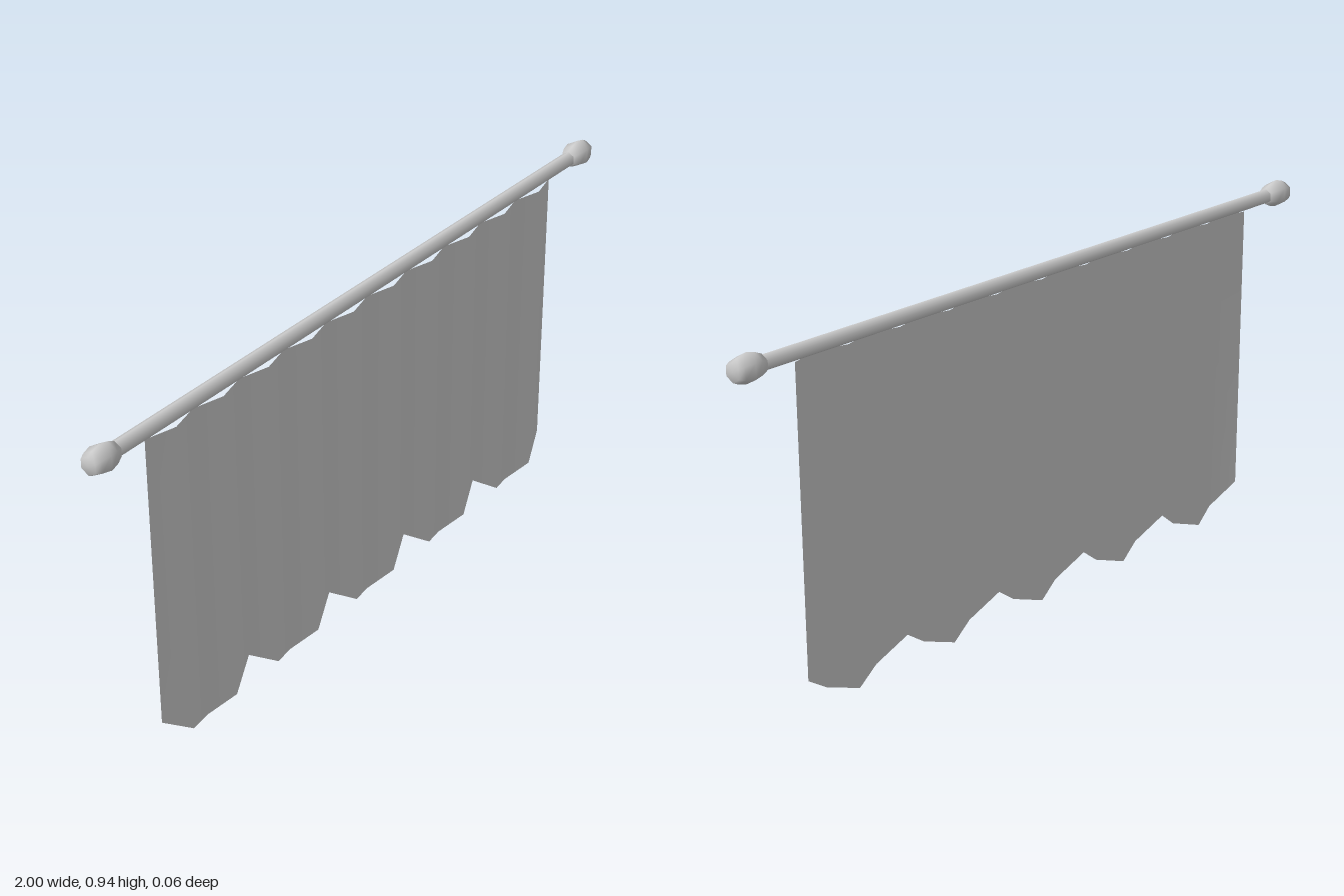
import * as THREE from 'three';

const ROD_Y = 0.903;

// Cloth: four columns per scallop, pleats pushed forward on every other column
function clothGeometry() {
  const scallops = 5, columns = scallops * 4, rows = 4;
  const hem = [0.085, 0.027, 0.003, 0.027];
  const geometry = new THREE.PlaneGeometry(1.64, 1, columns, rows);
  const position = geometry.attributes.position;
  for (let row = 0; row <= rows; row++) {
    for (let column = 0; column <= columns; column++) {
      const t = row / rows;
      const y = THREE.MathUtils.lerp(0.88, hem[column % 4], t);
      const z = column % 2 ? THREE.MathUtils.lerp(0.021, 0.027, t) : 0;
      const i = row * (columns + 1) + column;
      position.setY(i, y);
      position.setZ(i, z);
    }
  }
  geometry.computeVertexNormals();
  return geometry;
}

export function createModel() {
  const group = new THREE.Group();
  const grey = new THREE.MeshStandardMaterial({ color: 0xcccccc, side: THREE.DoubleSide });
  grey.name = 'light grey';

  const add = (name, geometry) => {
    const mesh = new THREE.Mesh(geometry, grey);
    mesh.name = name;
    group.add(mesh);
    return mesh;
  };

  add('curtain', clothGeometry());

  // Six-sided rod lying along x
  const rod = add('rod', new THREE.CylinderGeometry(0.02, 0.02, 1.86, 6, 1, false, Math.PI / 2));
  rod.rotation.z = -Math.PI / 2;
  rod.position.y = ROD_Y;

  // Faceted knob on each end of the rod
  const profile = [[0, 0.915], [0.022, 0.915], [0.031, 0.935], [0.037, 0.96], [0.031, 0.985], [0.024, 1], [0, 1]]
    .map(([r, along]) => new THREE.Vector2(r, along));
  for (const side of [1, -1]) {
    const knob = add(side > 0 ? 'leftFinial' : 'rightFinial', new THREE.LatheGeometry(profile, 6, Math.PI / 2));
    knob.rotation.z = -side * Math.PI / 2;
    knob.position.y = ROD_Y;
  }
  return group;
}
